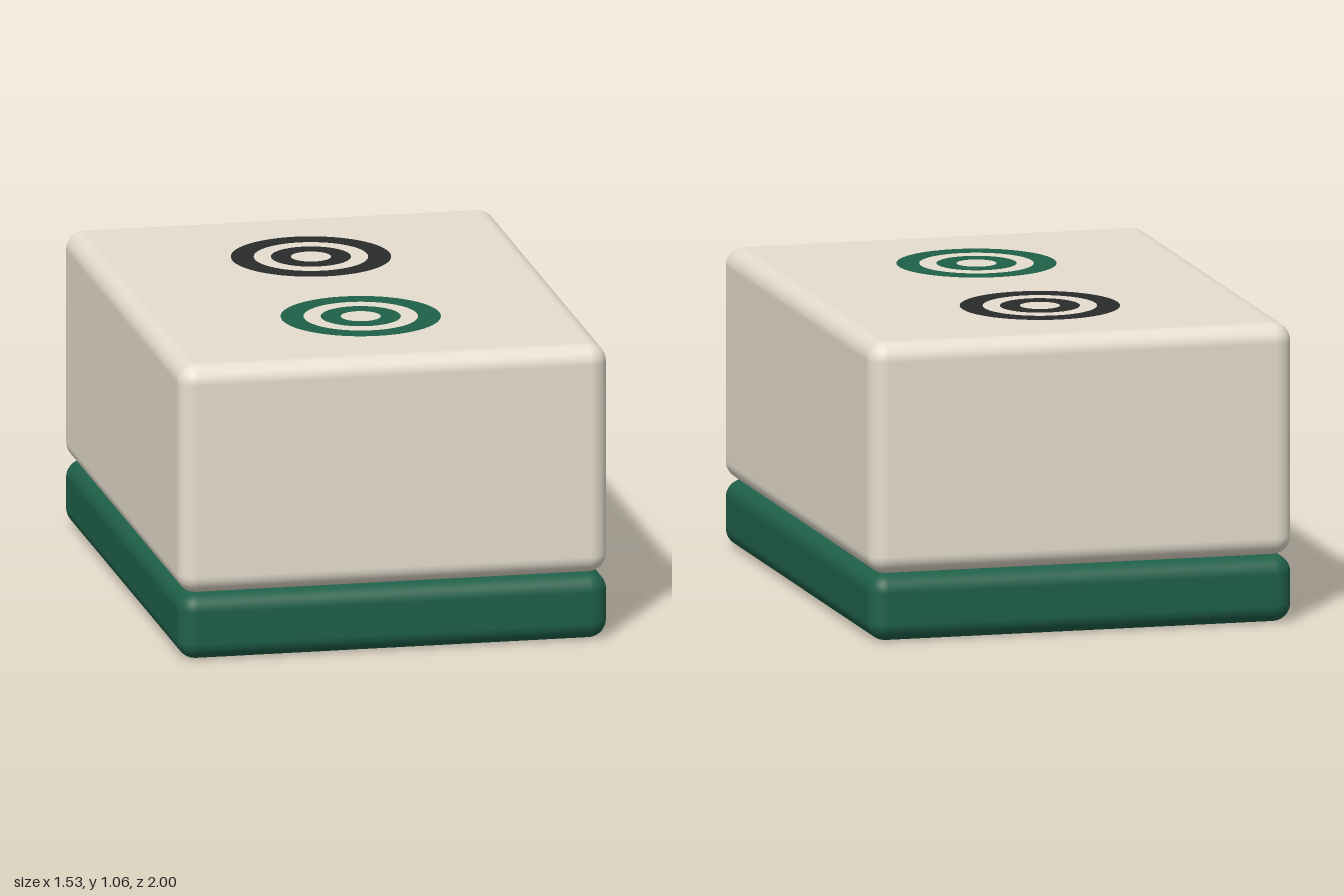
import * as THREE from 'three';
import { RoundedBoxGeometry } from 'three/addons/geometries/RoundedBoxGeometry.js';

const WIDTH = 1.53, DEPTH = 2, SPLIT = 0.238, TOP = 1.06, ROUND = 0.065;

export function createModel() {
  const model = new THREE.Group();
  model.name = 'gameTile';
  const ivory = new THREE.MeshStandardMaterial({ color: 0xe6decf });
  const green = new THREE.MeshStandardMaterial({ color: 0x1f6049 });
  const black = new THREE.MeshStandardMaterial({ color: 0x2a2c2c });

  // Rounded slab between two heights
  function slab(name, y0, y1, material) {
    const mesh = new THREE.Mesh(new RoundedBoxGeometry(WIDTH, y1 - y0, DEPTH, 6, ROUND), material);
    mesh.name = name;
    mesh.position.y = (y0 + y1) / 2;
    model.add(mesh);
  }

  // Two concentric flat rings inlaid on the top face
  function circleMark(name, z, material) {
    const mark = new THREE.Group();
    mark.name = name;
    for (const [part, inner, outer] of [['outerRing', 0.2, 0.28], ['innerRing', 0.07, 0.14]]) {
      const ring = new THREE.Mesh(new THREE.RingGeometry(inner, outer, 64), material);
      ring.name = part;
      ring.rotation.x = -Math.PI / 2;
      mark.add(ring);
    }
    mark.position.set(0, TOP + 0.002, z);
    model.add(mark);
  }

  slab('backing', 0, SPLIT, green);
  slab('face', SPLIT, TOP, ivory);
  circleMark('frontCircle', 0.42, green);
  circleMark('rearCircle', -0.425, black);
  return model;
}
